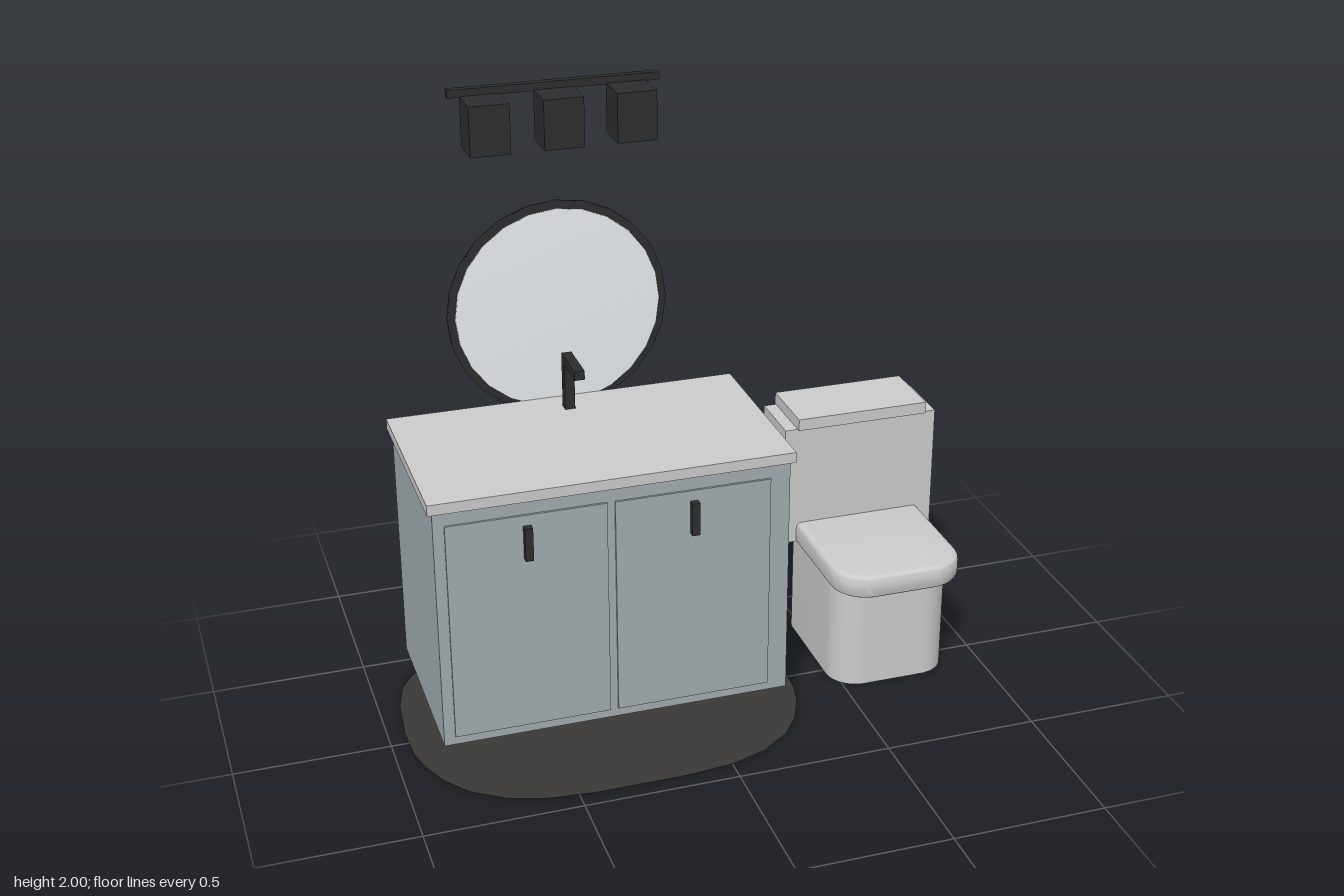
import * as THREE from 'three';
import { toCreasedNormals } from 'three/addons/utils/BufferGeometryUtils.js';

const mat = (color, side = THREE.FrontSide) => new THREE.MeshStandardMaterial({ color, side });

export function createModel() {
  const model = new THREE.Group();
  const grey = mat(0xcccccc), cabinetPaint = mat(0xa2acb0), black = mat(0x2d2d2f);
  const glass = mat(0xe8edf0), rugCloth = mat(0x3a3836, THREE.DoubleSide);

  const group = (name) => {
    const g = new THREE.Group();
    g.name = name;
    model.add(g);
    return g;
  };
  const add = (parent, name, geometry, material) => {
    const mesh = new THREE.Mesh(geometry, material);
    mesh.name = name;
    parent.add(mesh);
    return mesh;
  };
  // Box given by its limits on each axis
  const box = (parent, name, material, [x0, x1], [y0, y1], [z0, z1]) =>
    add(parent, name, new THREE.BoxGeometry(x1 - x0, y1 - y0, z1 - z0), material)
      .position.set((x0 + x1) / 2, (y0 + y1) / 2, (z0 + z1) / 2);

  // Vanity cabinet with worktop, two doors and handles
  const vanity = group('vanity');
  box(vanity, 'cabinet', cabinetPaint, [-0.865, 0.26], [0.1, 0.91], [-0.41, 0.2]);
  box(vanity, 'worktop', grey, [-0.88, 0.275], [0.91, 0.945], [-0.42, 0.21]);
  [-0.58, -0.055].forEach((x, i) => {
    const side = i ? 'left' : 'right';
    const doorX = i ? -0.305 : -0.83;
    box(vanity, side + 'Door', cabinetPaint, [doorX, doorX + 0.5], [0.13, 0.865], [0.195, 0.207]);
    box(vanity, side + 'Handle', black, [x - 0.0125, x + 0.0125], [0.72, 0.83], [0.205, 0.23]);
  });

  // Faucet
  const faucet = group('faucet');
  box(faucet, 'faucetPost', black, [-0.32, -0.287], [0.945, 1.13], [-0.345, -0.312]);
  box(faucet, 'faucetSpout', black, [-0.32, -0.287], [1.1, 1.13], [-0.312, -0.185]);

  // Round mirror: two discs with softly blended rims
  const mirror = group('mirror');
  const disc = (name, material, r, z0, z1) => {
    const h = z1 - z0;
    const profile = [[0, 0], [r, 0], [r, h], [0, h]].map(([x, y]) => new THREE.Vector2(x, y));
    const mesh = add(mirror, name, new THREE.LatheGeometry(profile, 24).rotateX(Math.PI / 2), material);
    mesh.position.set(-0.305, 1.25, z0);
  };
  disc('mirrorFrame', black, 0.36, -0.442, -0.428);
  disc('mirrorGlass', glass, 0.335, -0.43, -0.419);

  // Wall light: bar with three square shades
  const light = group('wallLight');
  box(light, 'lightBar', black, [-0.635, 0.033], [1.975, 2], [-0.435, -0.41]);
  for (const x of [-0.533, -0.303, -0.073]) {
    box(light, 'lightShade', black, [x - 0.063, x + 0.063], [1.82, 1.978], [-0.42, -0.295]);
  }

  // Toilet: tank, lid, and rounded pedestal and seat
  const toilet = group('toilet');
  box(toilet, 'tank', grey, [0.405, 0.94], [0.38, 0.8], [-0.437, -0.228]);
  box(toilet, 'tankLid', grey, [0.447, 0.9], [0.8, 0.84], [-0.445, -0.215]);

  // Upright slab whose plan has its own front and back corner radii
  const slab = (name, [x0, x1], [y0, y1], [z0, z1], rFront, rBack, bevel) => {
    const b = bevel, s = new THREE.Shape();
    const l = x0 + b, r = x1 - b, f = -z1 + b, k = -z0 - b;
    s.moveTo(l + rFront, f);
    s.lineTo(r - rFront, f);
    s.absarc(r - rFront, f + rFront, rFront, -Math.PI / 2, 0);
    s.absarc(r - rBack, k - rBack, rBack, 0, Math.PI / 2);
    s.absarc(l + rBack, k - rBack, rBack, Math.PI / 2, Math.PI);
    s.absarc(l + rFront, f + rFront, rFront, Math.PI, Math.PI * 1.5);
    const g = new THREE.ExtrudeGeometry(s, {
      depth: y1 - y0 - 2 * b, curveSegments: 8,
      bevelEnabled: b > 0, bevelSize: b, bevelThickness: b, bevelSegments: 4,
    });
    g.rotateX(-Math.PI / 2).translate(0, y0 + b, 0);
    add(toilet, name, toCreasedNormals(g, 0.7), grey);
  };
  slab('pedestal', [0.472, 0.877], [0, 0.38], [-0.36, 0.12], 0.1, 0.06, 0);
  slab('seat', [0.45, 0.893], [0.37, 0.45], [-0.27, 0.203], 0.1, 0.02, 0.02);

  // Floor rug: straight back edge and broad rounded front, mirrored about its middle
  const half = [[0.47, -0.445], [0.55, -0.4], [0.6, -0.33], [0.63, -0.22], [0.645, -0.06], [0.64, 0.07],
    [0.62, 0.15], [0.58, 0.24], [0.52, 0.32], [0.42, 0.39], [0.3, 0.43], [0.15, 0.445]];
  const outline = [...half, ...half.map(([x, z]) => [-x, z]).reverse()];
  const rugShape = new THREE.Shape(outline.map(([x, z]) => new THREE.Vector2(x - 0.3, -z)));
  const rug = add(model, 'rug', new THREE.ShapeGeometry(rugShape).rotateX(-Math.PI / 2), rugCloth);
  rug.position.y = 0.001;

  return model;
}
